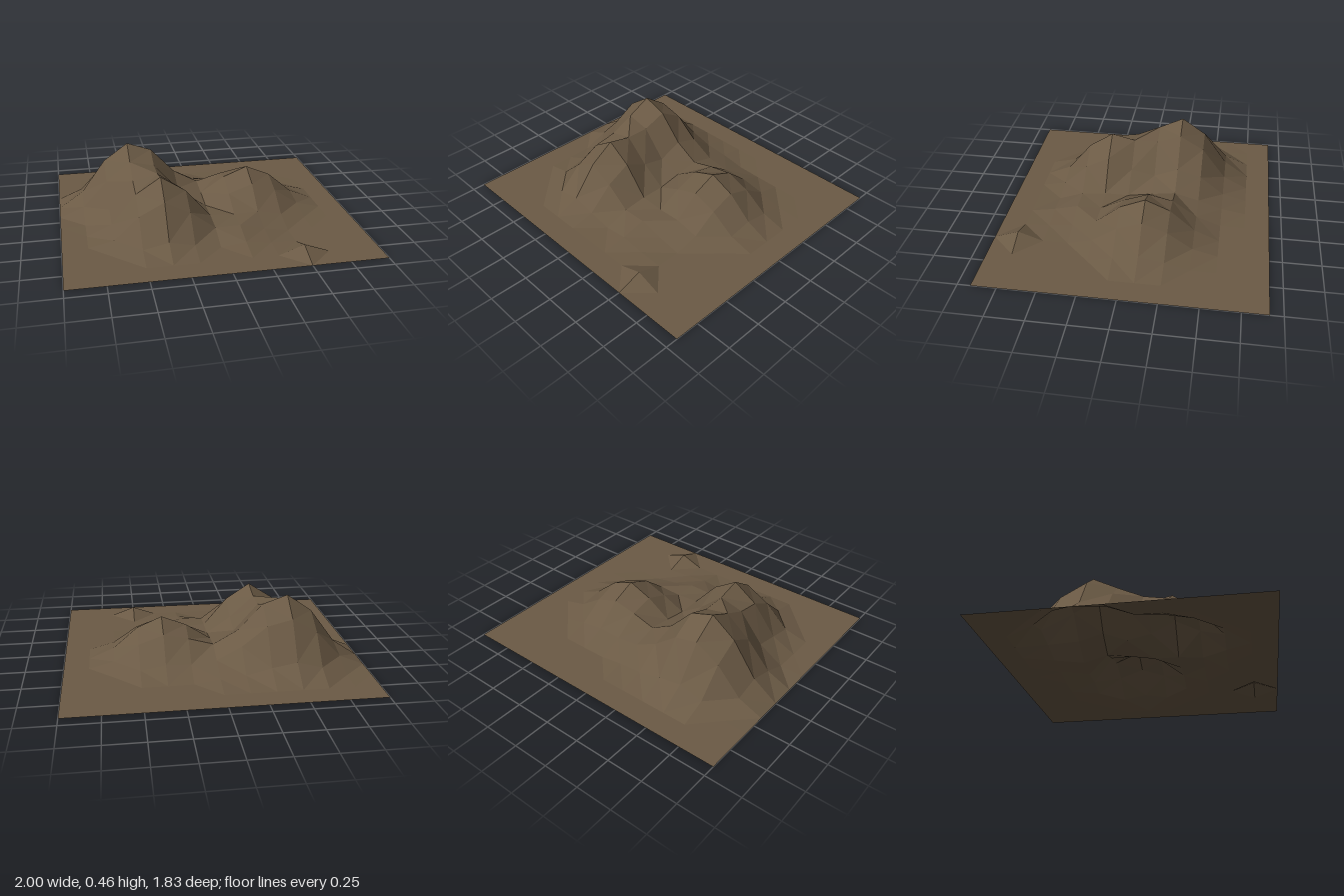
import * as THREE from 'three';

const STEP = 1 / 6, NX = 12, NZ = 11;

// hills: x, z, height, radius (in grid cells)
const HILLS = [
  [-0.5, -0.25, 0.455, 3],
  [-0.333, 0.25, 0.385, 2.8],
  [0.333, -0.083, 0.285, 3],
  [-0.13, -0.32, 0.12, 2.6],
  [0.167, 0.417, 0.07, 1.8],
  [0.5, 0.75, 0.06, 1.05],
];

// sum of cosine-shaped bumps
function heightAt(x, z) {
  let y = 0;
  for (const [hx, hz, h, r] of HILLS) {
    const d = Math.hypot(x - hx, z - hz) / (r * STEP);
    if (d < 1) y += h * 0.5 * (1 + Math.cos(Math.PI * d));
  }
  return y < 0.0005 ? 0 : y;
}

export function createModel() {
  const group = new THREE.Group();
  group.name = 'hillyTerrain';

  // grid of ground points
  const positions = [];
  for (let j = 0; j <= NZ; j++) {
    for (let i = 0; i <= NX; i++) {
      const x = (i - NX / 2) * STEP, z = (j - NZ / 2) * STEP;
      positions.push(x, heightAt(x, z), z);
    }
  }

  // each cell is split along the more level diagonal
  const index = [];
  const y = (n) => positions[n * 3 + 1];
  for (let j = 0; j < NZ; j++) {
    for (let i = 0; i < NX; i++) {
      const a = j * (NX + 1) + i, b = a + 1;
      const c = a + NX + 1, d = c + 1;
      if (Math.abs(y(a) - y(d)) < Math.abs(y(b) - y(c))) index.push(a, c, d, a, d, b);
      else index.push(a, c, b, b, c, d);
    }
  }

  const geometry = new THREE.BufferGeometry();
  geometry.setAttribute('position', new THREE.Float32BufferAttribute(positions, 3));
  geometry.setIndex(index);
  geometry.computeVertexNormals();

  const earth = new THREE.MeshStandardMaterial({
    color: 0x6b5a45, flatShading: true, side: THREE.DoubleSide,
  });
  const ground = new THREE.Mesh(geometry, earth);
  ground.name = 'ground';
  group.add(ground);
  return group;
}
